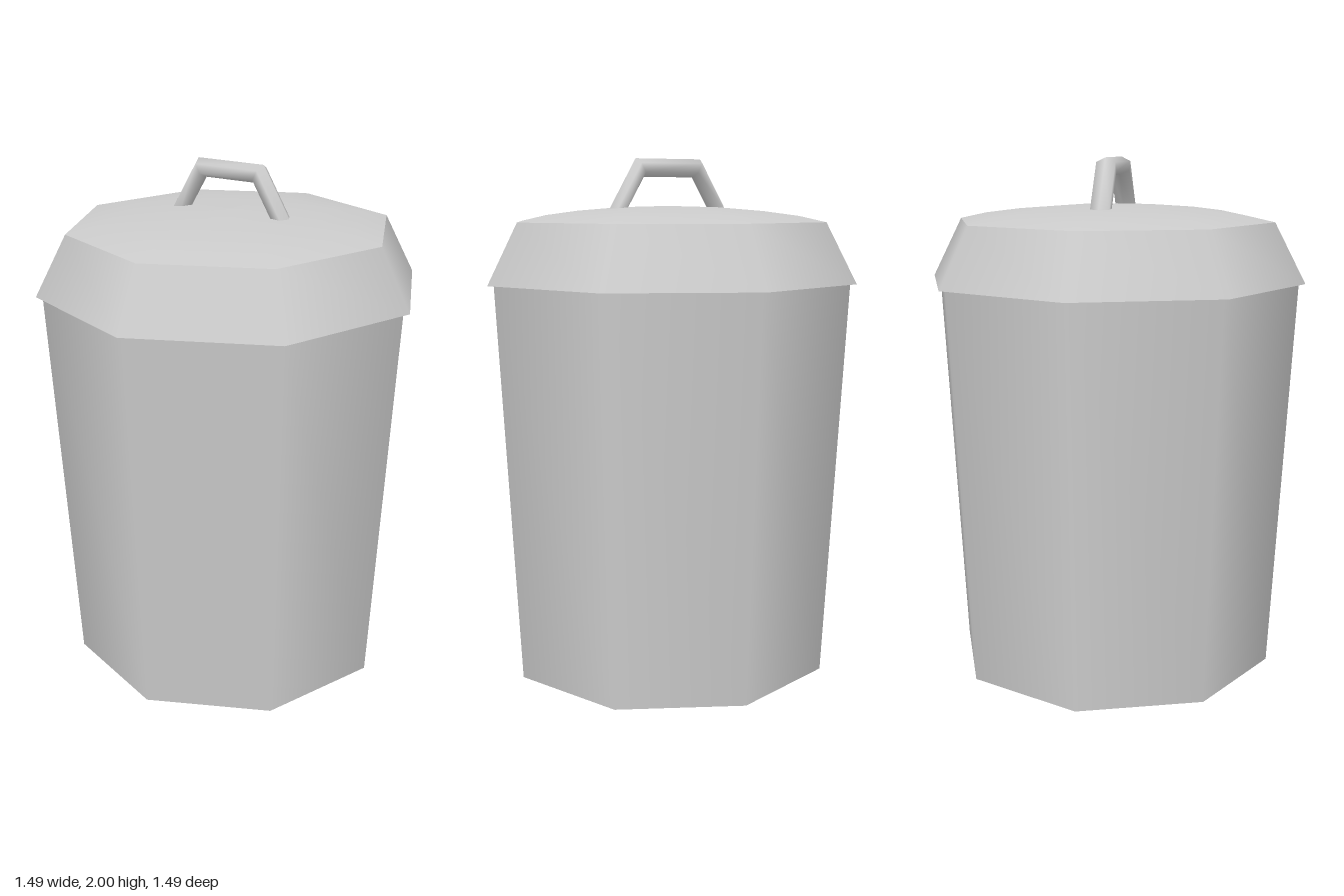
import * as THREE from 'three';

const material = new THREE.MeshStandardMaterial({ color: 0xcccccc, side: THREE.DoubleSide });

// Eight-sided turned part; each call is one smooth band, so band joins stay sharp
function turned(name, profile) {
  const points = profile.map(([r, y]) => new THREE.Vector2(r, y));
  const mesh = new THREE.Mesh(new THREE.LatheGeometry(points, 8), material);
  mesh.name = name;
  return mesh;
}

// Six-sided bar swept through mitred sections, each given by its outer and inner edge
function handle() {
  const sections = [
    [[-0.262, 1.79], [-0.187, 1.79]],
    [[-0.14, 2.0], [-0.105, 1.93]],
    [[0.14, 2.0], [0.105, 1.93]],
    [[0.262, 1.79], [0.187, 1.79]],
  ];
  const sides = 6, halfDepth = 0.037;
  const positions = [], indices = [];
  sections.forEach(([outer, inner], s) => {
    for (let i = 0; i < sides; i++) {
      const a = (i / sides) * Math.PI * 2;
      const t = (1 - Math.cos(a)) / 2;
      positions.push(
        THREE.MathUtils.lerp(outer[0], inner[0], t),
        THREE.MathUtils.lerp(outer[1], inner[1], t),
        (Math.sin(a) / Math.sin(Math.PI / 3)) * halfDepth
      );
      if (s < sections.length - 1) {
        const p = s * sides + i, q = s * sides + ((i + 1) % sides);
        indices.push(p, q, p + sides, q, q + sides, p + sides);
      }
    }
  });
  const geometry = new THREE.BufferGeometry();
  geometry.setAttribute('position', new THREE.Float32BufferAttribute(positions, 3));
  geometry.setIndex(indices);
  geometry.computeVertexNormals();
  const mesh = new THREE.Mesh(geometry, material);
  mesh.name = 'handle';
  return mesh;
}

export function createModel() {
  const model = new THREE.Group();
  model.name = 'lidded bin';

  // Tapered container
  const body = new THREE.Group();
  body.name = 'body';
  body.add(
    turned('base', [[0, 0], [0.635, 0]]),
    turned('wall', [[0.635, 0], [0.72, 1.53]])
  );

  // Overhanging lid with sloped skirt and shallow dome
  const lid = new THREE.Group();
  lid.name = 'lid';
  lid.add(
    turned('rimUnderside', [[0.715, 1.53], [0.745, 1.53]]),
    turned('skirt', [[0.745, 1.53], [0.625, 1.76]]),
    turned('dome', [[0.625, 1.76], [0.52, 1.783], [0.38, 1.801], [0.2, 1.815], [0, 1.82]]),
    handle()
  );

  model.add(body, lid);
  return model;
}
